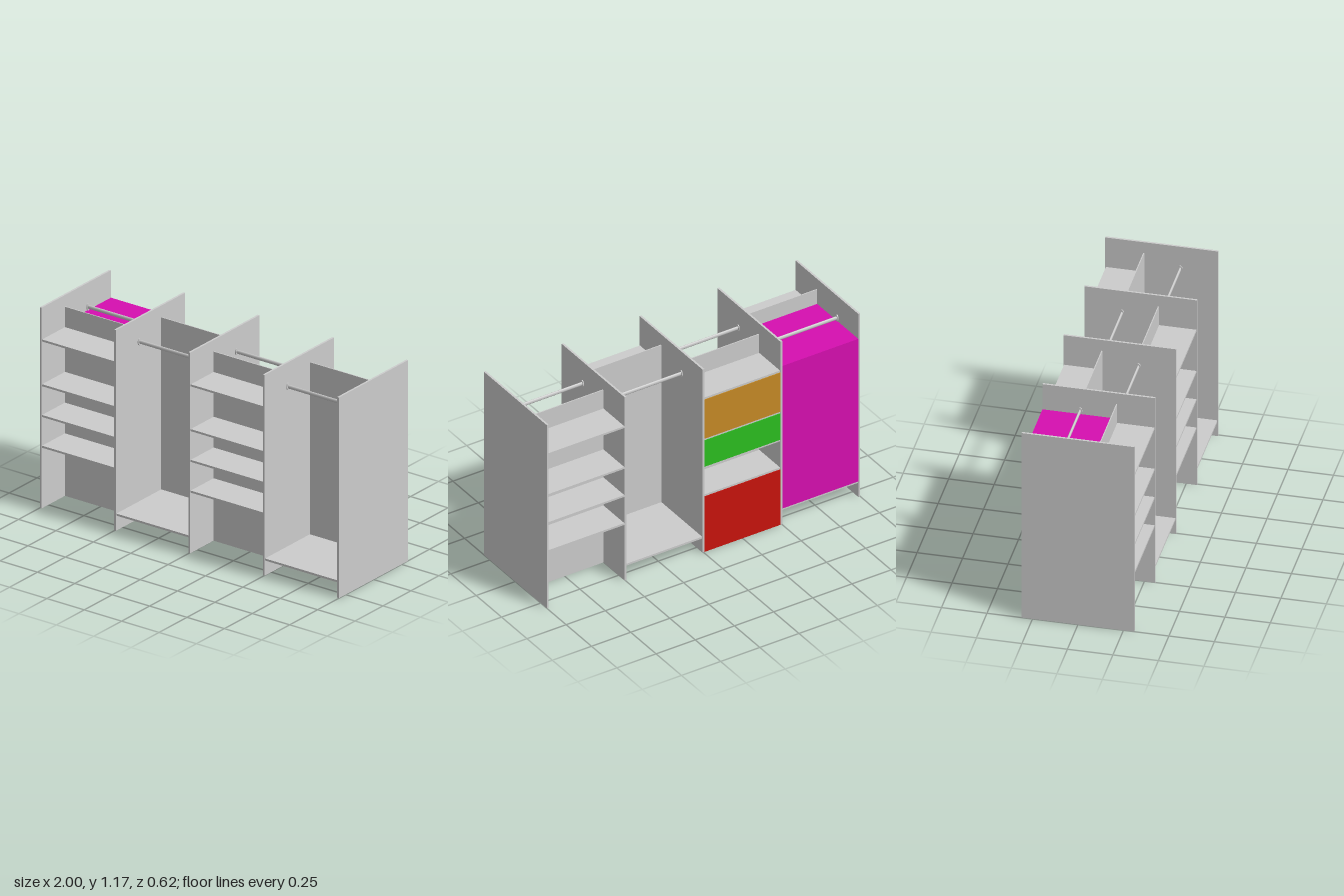
import * as THREE from 'three';

const grey = new THREE.MeshStandardMaterial({ color: 0xcccccc });

// Box given by its min/max limits on each axis
function block(name, [x0, x1], [y0, y1], [z0, z1], material = grey) {
  const mesh = new THREE.Mesh(new THREE.BoxGeometry(x1 - x0, y1 - y0, z1 - z0), material);
  mesh.name = name;
  mesh.position.set((x0 + x1) / 2, (y0 + y1) / 2, (z0 + z1) / 2);
  return mesh;
}

const T = 0.012;            // board thickness
const HEIGHT = 1.175;       // upright panels
const DEPTH = 0.31;         // half depth
const PITCH = 0.497;        // distance between uprights
const BACK_TOP = 1.107;     // top of the partitions
const SHELVES = [0.36, 0.54, 0.72, 0.982];
const FLOOR = 0.094;

// Oval hanging rail with a flange at each end
function rail(xs, z) {
  const group = new THREE.Group();
  group.name = 'hangingRail';
  const length = xs[1] - xs[0];
  const rod = new THREE.Mesh(new THREE.CylinderGeometry(0.011, 0.011, length, 24), grey);
  rod.name = 'rod';
  rod.rotation.z = Math.PI / 2;
  rod.scale.z = 0.6;
  group.add(rod);
  for (const s of [-1, 1]) {
    const flange = new THREE.Mesh(new THREE.CylinderGeometry(0.021, 0.021, 0.006, 24), grey);
    flange.name = 'railFlange';
    flange.rotation.z = Math.PI / 2;
    flange.scale.z = 0.6;
    flange.position.x = s * (length / 2 - 0.003);
    group.add(flange);
  }
  group.position.set((xs[0] + xs[1]) / 2, 1.036, z);
  return group;
}

// One bay: shelves on the shallow side, rail and raised floor on the deep side.
// side = +1 puts the shelves at the front, -1 at the back.
function bay(xs, side) {
  const group = new THREE.Group();
  group.name = side > 0 ? 'frontShelfBay' : 'backShelfBay';
  const span = (a, b) => [Math.min(a * side, b * side), Math.max(a * side, b * side)];
  group.add(block('partition', xs, [0, BACK_TOP], span(0.095, 0.101)));
  for (const y of SHELVES) {
    group.add(block('shelf', xs, [y - T / 2, y + T / 2], span(0.101, 0.306)));
  }
  group.add(block('raisedFloor', xs, [FLOOR - T / 2, FLOOR + T / 2], span(-0.306, 0.095)));
  group.add(rail(xs, -0.103 * side));
  return group;
}

export function createModel() {
  const model = new THREE.Group();
  model.name = 'wardrobe';

  // Upright panels
  for (let i = -2; i <= 2; i++) {
    const x = i * PITCH;
    model.add(block('uprightPanel', [x - T / 2, x + T / 2], [0, HEIGHT], [-DEPTH, DEPTH]));
  }

  // Alternating bays
  const bays = [-2, -1, 0, 1].map((i) => [i * PITCH + T / 2, (i + 1) * PITCH - T / 2]);
  bays.forEach((xs, i) => model.add(bay(xs, i % 2 ? -1 : 1)));

  // Coloured storage volumes at the back
  const volume = (name, color, xs, ys, zFront) =>
    model.add(block(name, xs, ys, [-DEPTH, zFront], new THREE.MeshStandardMaterial({ color })));
  const h = T / 2;
  volume('hangingVolume', 0xd60fb0, bays[0], [FLOOR + h, 1.015], 0.095);
  volume('lowerVolume', 0xc8140c, bays[1], [0, SHELVES[0] - h], -0.101);
  volume('middleVolume', 0x2cbf20, bays[1], [SHELVES[1] + h, SHELVES[2] - h], -0.101);
  volume('upperVolume', 0xc68a25, bays[1], [SHELVES[2] + h, SHELVES[3] - h], -0.101);

  return model;
}
